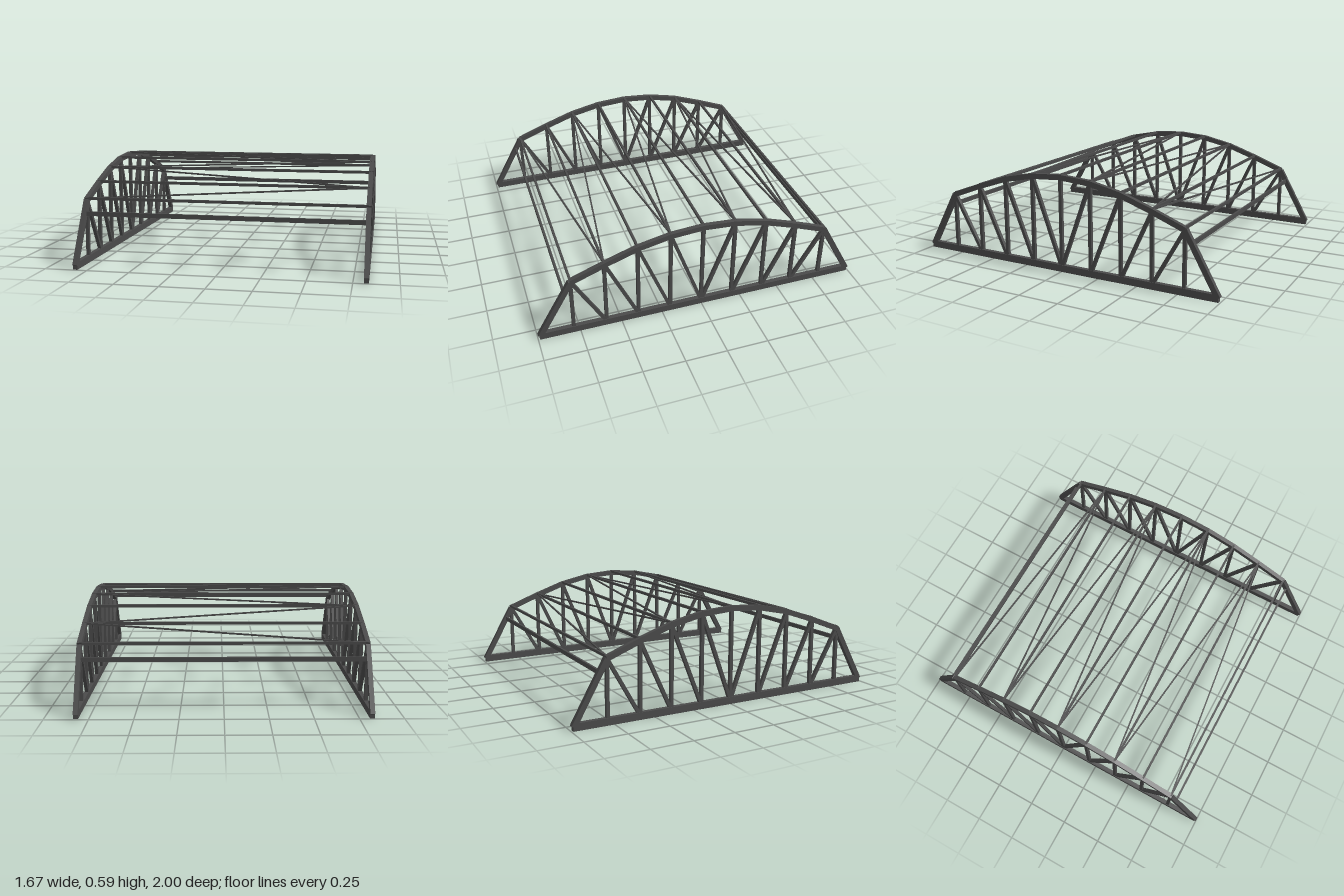
import * as THREE from 'three';

const steel = new THREE.MeshStandardMaterial({ color: 0x4a4a4a });
steel.name = 'dark steel';

// Square-section bar from a to b: w across, h deep, extended by ext at both ends
function bar(name, a, b, w, h, ext = 0) {
  const A = new THREE.Vector3(...a), B = new THREE.Vector3(...b);
  const dir = B.clone().sub(A);
  const mesh = new THREE.Mesh(new THREE.BoxGeometry(w, h, dir.length() + 2 * ext), steel);
  mesh.position.copy(A).add(B).multiplyScalar(0.5);
  mesh.lookAt(B);
  mesh.name = name;
  return mesh;
}

const SIDE = 0.822;   // x of the truss planes
const BASE = 0.021;   // bottom chord centre height
const END = 0.986;    // z of the end nodes
// Arch nodes, middle to end: [z, y]
const half = [[0, 0.57], [0.197, 0.556], [0.394, 0.514], [0.59, 0.447], [0.787, 0.372]];
const nodes = [...half.slice(1).reverse().map(([z, y]) => [-z, y]), ...half];

function truss(x) {
  const g = new THREE.Group();
  g.name = x > 0 ? 'leftTruss' : 'rightTruss';
  g.add(bar('bottomChord', [x, BASE, -0.99], [x, BASE, 0.99], 0.027, 0.042));

  // Arched top chord with sloping end posts
  const arch = [[-END, BASE], ...nodes, [END, BASE]];
  for (let i = 0; i < arch.length - 1; i++) {
    const [z0, y0] = arch[i], [z1, y1] = arch[i + 1];
    const post = i === 0 || i === arch.length - 2;
    g.add(bar(post ? 'endPost' : 'topChord', [x, y0, z0], [x, y1, z1], 0.027, 0.032, post ? 0 : 0.003));
  }

  // Verticals, and diagonals leaning outward from the middle
  for (const [z, y] of nodes) g.add(bar('vertical', [x, BASE, z], [x, y, z], 0.02, 0.02));
  for (const s of [-1, 1]) {
    for (let i = 0; i < half.length - 1; i++) {
      g.add(bar('diagonal', [x, BASE, s * half[i][0]], [x, half[i + 1][1], s * half[i + 1][0]], 0.02, 0.02));
    }
  }
  return g;
}

export function createModel() {
  const model = new THREE.Group();
  model.name = 'archedTrussBridge';
  model.add(truss(SIDE), truss(-SIDE));

  // Cross struts between the arches, with zigzag wind bracing
  const lift = 0.01;
  nodes.forEach(([z, y], i) => {
    model.add(bar('crossStrut', [-SIDE, y + lift, z], [SIDE, y + lift, z], 0.013, 0.016));
    if (i === 0) return;
    const [pz, py] = nodes[i - 1];
    const s = i % 2 ? -1 : 1;
    model.add(bar('windBrace', [s * SIDE, py + lift, pz], [-s * SIDE, y + lift, z], 0.009, 0.009));
  });

  // Portal beams on the end posts
  for (const z of [-0.828, 0.828]) {
    model.add(bar('portalBeam', [-SIDE, 0.298, z], [SIDE, 0.298, z], 0.013, 0.026));
  }
  return model;
}
